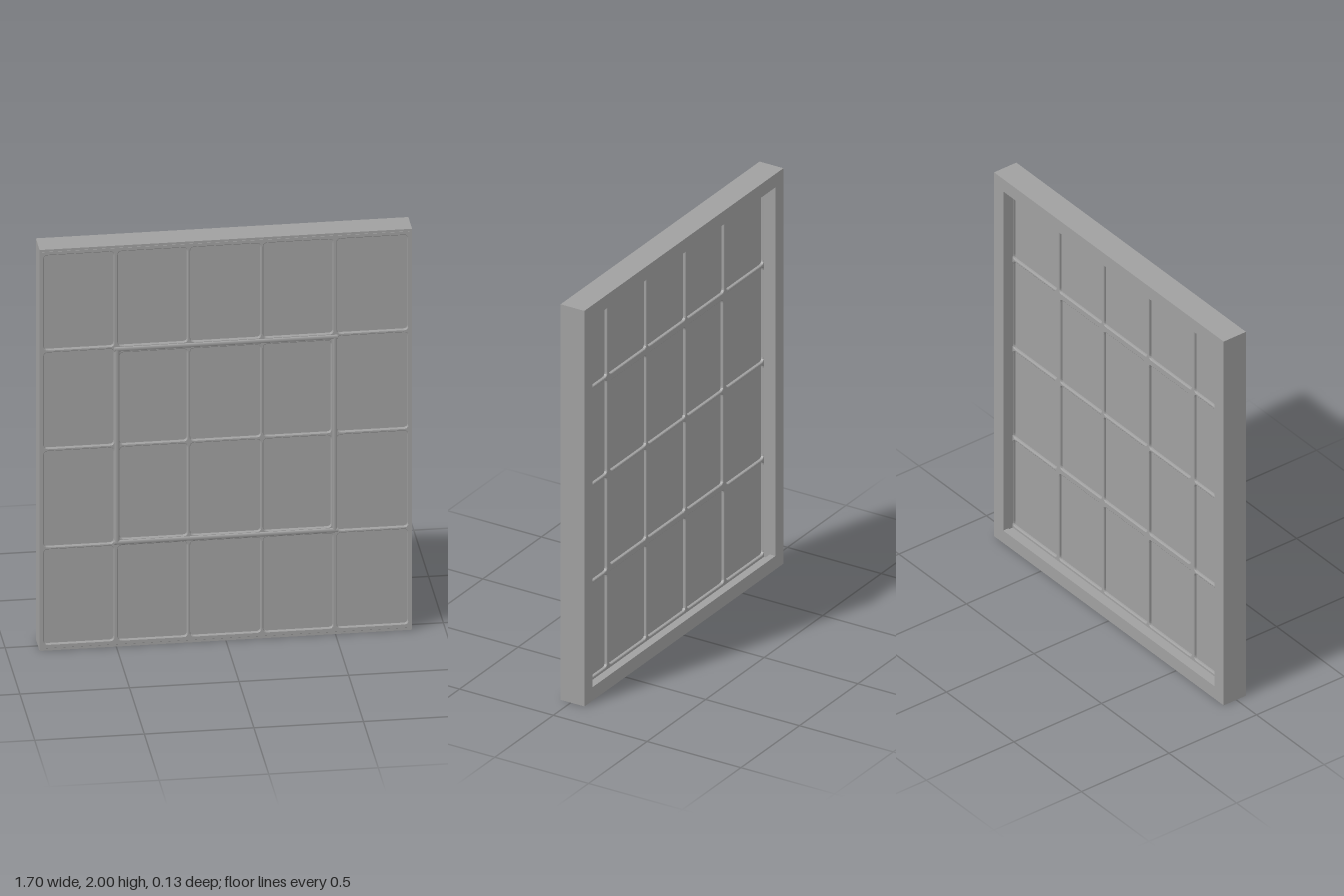
import * as THREE from 'three';

const W = 1.7, H = 2, BACK = -0.072, FRONT = 0.055;

// Rectangle outline with optional rounded corners
function outline(path, x0, y0, x1, y1, r = 0) {
  if (!r) {
    path.moveTo(x0, y0).lineTo(x1, y0).lineTo(x1, y1).lineTo(x0, y1).closePath();
    return path;
  }
  path.moveTo(x0 + r, y0);
  path.lineTo(x1 - r, y0).quadraticCurveTo(x1, y0, x1, y0 + r);
  path.lineTo(x1, y1 - r).quadraticCurveTo(x1, y1, x1 - r, y1);
  path.lineTo(x0 + r, y1).quadraticCurveTo(x0, y1, x0, y1 - r);
  path.lineTo(x0, y0 + r).quadraticCurveTo(x0, y0, x0 + r, y0);
  return path;
}

// Square ring of the given border width between two depths
function ring(border, z0, z1) {
  const s = outline(new THREE.Shape(), -W / 2, 0, W / 2, H);
  s.holes.push(outline(new THREE.Path(), -W / 2 + border, border, W / 2 - border, H - border));
  return new THREE.ExtrudeGeometry(s, { depth: z1 - z0, bevelEnabled: false }).translate(0, 0, z0);
}

export function createModel() {
  const group = new THREE.Group();
  const grey = new THREE.MeshStandardMaterial({ color: 0xa0a0a0 });
  grey.name = 'grey';
  const add = (name, geo) => {
    const mesh = new THREE.Mesh(geo, grey);
    mesh.name = name;
    group.add(mesh);
    return mesh;
  };

  // Outer frame: thin side walls plus a wider lip at the back
  add('frameWall', ring(0.018, -0.042, FRONT));
  add('backLip', ring(0.068, BACK, -0.042));

  // Lattice with twenty rounded openings; the middle six are set in by a heavier border
  const cols = [[-0.83, -0.512], [-0.492, -0.177], [-0.162, 0.158], [0.172, 0.488], [0.508, 0.83]];
  const rows = [[0.032, 0.503], [0.517, 0.993], [1.008, 1.485], [1.5, 1.97]];
  const lattice = outline(new THREE.Shape(), -0.842, 0.008, 0.842, 1.992);
  cols.forEach(([x0, x1], c) => rows.forEach(([y0, y1], r) => {
    const inner = c > 0 && c < 4 && (r === 1 || r === 2);
    const left = inner && c === 1 ? x0 + 0.008 : x0;
    const right = inner && c === 3 ? x1 - 0.008 : x1;
    const low = inner && r === 1 ? y0 + 0.018 : y0;
    const high = inner && r === 2 ? y1 - 0.02 : y1;
    lattice.holes.push(outline(new THREE.Path(), left, low, right, high, 0.018));
  }));
  const latticeGeo = new THREE.ExtrudeGeometry(lattice, {
    depth: 0.023, bevelEnabled: true, bevelThickness: 0.006, bevelSize: 0.004,
    bevelOffset: -0.004, bevelSegments: 2, curveSegments: 4,
  });
  add('lattice', latticeGeo.translate(0, 0, 0.0265));

  // Single sheet of panes behind the openings
  add('panes', new THREE.BoxGeometry(1.68, 1.98, 0.008).translate(0, H / 2, 0.038));

  // Flattened round beads around the middle six panes
  const bead = (name, x, y, length, horizontal) => {
    const geo = new THREE.CylinderGeometry(0.011, 0.011, length, 12);
    if (horizontal) geo.rotateZ(Math.PI / 2);
    add(name, geo.scale(1, 1, 0.5).translate(x, y, FRONT));
  };
  bead('upperBead', 0, 1.483, 1.02, true);
  bead('lowerBead', 0, 0.519, 1.02, true);
  for (const side of [-1, 1]) bead('sideBead', side * 0.497, 1, 0.96, false);

  return group;
}
